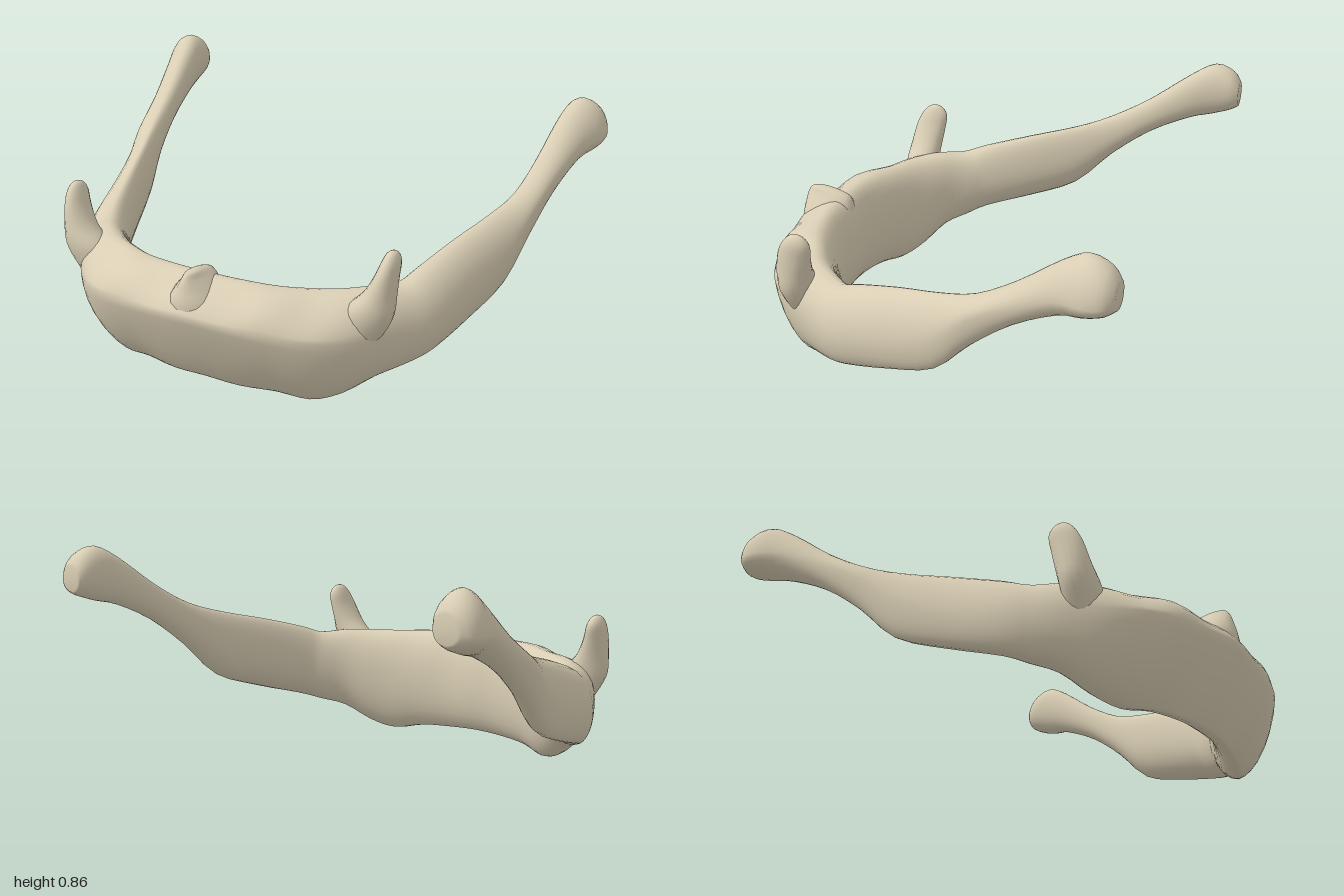
import * as THREE from 'three';

// Smooth closed skin over rings of points, with a pole at each end.
function loft(rings) {
  const n = rings[0].length, pos = [], index = [];
  for (const ring of rings) for (const p of ring) pos.push(...p);
  const pole = ring => {
    const c = [0, 1, 2].map(k => ring.reduce((s, p) => s + p[k], 0) / n);
    pos.push(...c);
    return pos.length / 3 - 1;
  };
  for (let i = 0; i < rings.length - 1; i++) {
    for (let j = 0; j < n; j++) {
      const a = i * n + j, b = i * n + (j + 1) % n;
      index.push(a, a + n, b + n, a, b + n, b);
    }
  }
  const first = pole(rings[0]), last = pole(rings[rings.length - 1]);
  const end = (rings.length - 1) * n;
  for (let j = 0; j < n; j++) {
    const k = (j + 1) % n;
    index.push(first, j, k, last, end + k, end + j);
  }
  const g = new THREE.BufferGeometry();
  g.setAttribute('position', new THREE.Float32BufferAttribute(pos, 3));
  g.setIndex(index);
  g.computeVertexNormals();
  return g;
}

// Catmull-Rom resampling of rows of numbers.
function resample(rows, steps) {
  const out = [], at = i => rows[Math.max(0, Math.min(rows.length - 1, i))];
  for (let i = 0; i < rows.length - 1; i++) {
    for (let s = 0; s < steps; s++) {
      const t = s / steps;
      out.push(rows[i].map((b, k) => {
        const a = at(i - 1)[k], c = at(i + 1)[k], d = at(i + 2)[k];
        return b + 0.5 * t * (c - a + t * (2 * a - 5 * b + 4 * c - d + t * (3 * (b - c) + d - a)));
      }));
    }
  }
  out.push(rows[rows.length - 1]);
  return out;
}

// Stations: outer x, z, inner x, z, bottom y, top y, bottom lean, top lean
// (0 inner, 1 outer), outer ridge y, straightness of outer lower and upper faces
const chin = [
  [0.00, 0.78, 0.00, 0.53, 0.03, 0.44, 0.38, 0.35, 0.33, 1.7, 1.3],
  [0.15, 0.765, 0.13, 0.53, 0.025, 0.44, 0.38, 0.35, 0.32, 1.7, 1.4],
  [0.30, 0.74, 0.26, 0.495, 0.02, 0.435, 0.36, 0.38, 0.31, 1.6, 1.05],
  [0.44, 0.69, 0.36, 0.45, 0.00, 0.43, 0.38, 0.35, 0.30, 1.4, 1.4],
  [0.55, 0.61, 0.44, 0.40, 0.03, 0.43, 0.42, 0.40, 0.29, 1.2, 1.2],
  [0.64, 0.50, 0.52, 0.34, 0.095, 0.43, 0.50, 0.40, 0.29, 1, 1],
];
const branch = [
  [0.71, 0.39, 0.575, 0.27, 0.125, 0.425, 0.60, 0.38, 0.27, 1, 1],
  [0.765, 0.28, 0.61, 0.21, 0.155, 0.455, 0.68, 0.32, 0.28, 1, 1.1],
  [0.815, 0.07, 0.67, 0.05, 0.21, 0.505, 0.70, 0.30, 0.33, 1, 1.1],
  [0.863, -0.12, 0.735, -0.13, 0.28, 0.55, 0.68, 0.30, 0.41, 1, 1.1],
  [0.895, -0.26, 0.785, -0.28, 0.42, 0.60, 0.60, 0.32, 0.53, 1, 1],
  [0.92, -0.42, 0.81, -0.43, 0.54, 0.69, 0.50, 0.35, 0.62, 1, 1],
  [0.96, -0.58, 0.825, -0.59, 0.62, 0.81, 0.42, 0.38, 0.70, 1.1, 1.1],
  [0.998, -0.68, 0.835, -0.68, 0.645, 0.86, 0.40, 0.40, 0.715, 1.1, 1.1],
  [0.995, -0.75, 0.845, -0.755, 0.67, 0.835, 0.42, 0.42, 0.72, 1, 1],
  [0.96, -0.785, 0.865, -0.788, 0.69, 0.79, 0.48, 0.48, 0.735, 1, 1],
];

// Cross-section made of four curved quadrants.
function section([ox, oz, ix, iz, yb, yt, ub, ut, yo, lowBend, topBend]) {
  const ring = [], n = 28;
  for (let j = 0; j < n; j++) {
    const a = j / n * Math.PI * 2, c = Math.cos(a), s = Math.sin(a);
    const low = c > 0, outer = s >= 0;
    const e = !outer ? 0.95 : low ? lowBend : topBend;
    const S = Math.abs(s) ** e, C = Math.abs(c) ** e;
    const base = low ? ub : ut;
    const side = outer ? yo : (yb + yt) / 2;
    const u = base + ((outer ? 1 : 0) - base) * S;
    const y = side + ((low ? yb : yt) - side) * C;
    ring.push([ix + (ox - ix) * u, y, iz + (oz - iz) * u]);
  }
  return ring;
}

// Upright stacks of ellipses: centre x, y, z and half widths in x and z
const horn = [
  [0.54, 0.22, 0.49, 0.05, 0.04],
  [0.573, 0.32, 0.50, 0.085, 0.058],
  [0.597, 0.385, 0.503, 0.09, 0.066],
  [0.63, 0.45, 0.497, 0.06, 0.066],
  [0.65, 0.52, 0.485, 0.04, 0.064],
  [0.659, 0.57, 0.472, 0.031, 0.055],
  [0.661, 0.60, 0.469, 0.019, 0.032],
  [0.661, 0.61, 0.469, 0.006, 0.01],
];
const nub = [
  [0, 0.30, 0.665, 0.13, 0.10],
  [0, 0.37, 0.665, 0.10, 0.105],
  [0, 0.42, 0.66, 0.065, 0.10],
  [0, 0.455, 0.665, 0.035, 0.085],
  [0, 0.475, 0.69, 0.02, 0.045],
  [0, 0.48, 0.70, 0.006, 0.02],
];
function stack(rows, side) {
  return loft(resample(rows, 3).map(([x, y, z, rx, rz]) =>
    Array.from({ length: 18 }, (_, j) => {
      const a = j / 18 * Math.PI * 2;
      return [side * x + rx * Math.cos(a), y, z + rz * Math.sin(a)];
    })));
}

export function createModel() {
  const model = new THREE.Group();
  model.name = 'jawbone';
  const bone = new THREE.MeshStandardMaterial({ color: 0xd9ceb4 });
  bone.name = 'bone';
  const add = (geometry, name) => {
    const mesh = new THREE.Mesh(geometry, bone);
    mesh.name = name;
    model.add(mesh);
  };

  // Curved body with both rear branches
  const half = [...chin, ...branch];
  const mirrored = half.slice(1).reverse().map(([ox, oz, ix, ...rest]) => [-ox, oz, -ix, ...rest]);
  add(loft(resample([...mirrored, ...half], 3).map(section)), 'jawBody');

  // Pair of horns and the middle nub
  add(stack(horn, 1), 'leftHorn');
  add(stack(horn, -1), 'rightHorn');
  add(stack(nub, 1), 'middleNub');
  return model;
}
